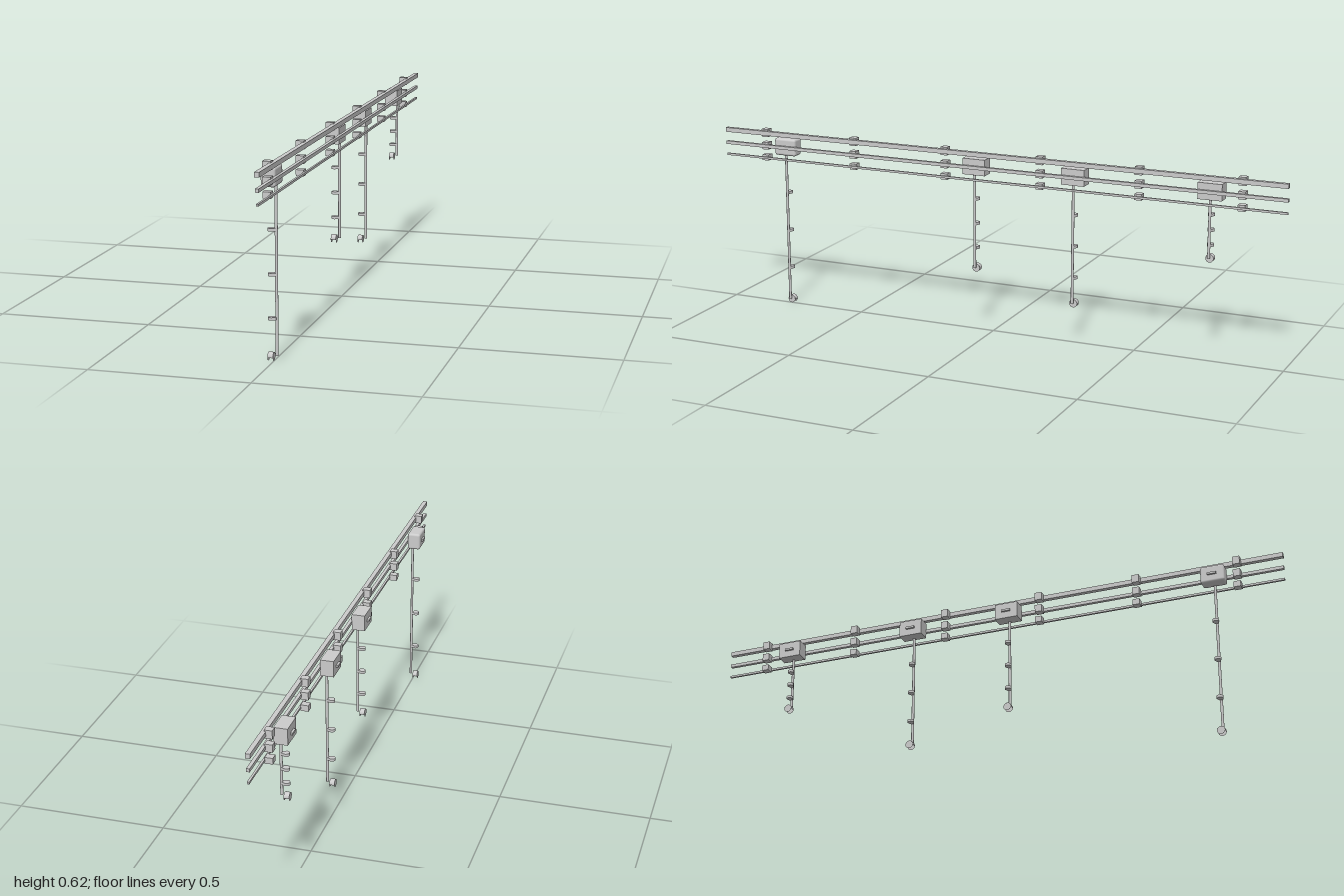
import * as THREE from 'three';
import { RoundedBoxGeometry } from 'three/addons/geometries/RoundedBoxGeometry.js';

const grey = new THREE.MeshStandardMaterial({ color: 0xcccccc, flatShading: true });
const smooth = new THREE.MeshStandardMaterial({ color: 0xcccccc });
const thin = new THREE.MeshStandardMaterial({ color: 0xcccccc, side: THREE.DoubleSide });

function add(parent, name, geometry, x, y, z, material = grey) {
  const mesh = new THREE.Mesh(geometry, material);
  mesh.name = name;
  mesh.position.set(x, y, z);
  parent.add(mesh);
  return mesh;
}

// Flat pipe clip: round at the outer end, narrowing towards the pipe
function clipGeometry() {
  const s = new THREE.Shape();
  s.moveTo(0.009, 0.005);
  s.lineTo(-0.006, 0.011);
  s.absarc(-0.006, 0, 0.011, Math.PI / 2, Math.PI * 1.5, false);
  s.lineTo(0.009, -0.005);
  s.closePath();
  const g = new THREE.ExtrudeGeometry(s, { depth: 0.009, bevelEnabled: false, curveSegments: 12 });
  return g.rotateX(Math.PI / 2).translate(0, 0.0045, 0);
}

// Pipe end: two round plates with a shell over the upper part, axis along x
function pipeEnd(parent, y, z) {
  const end = new THREE.Group();
  end.name = 'pipeEnd';
  end.position.set(-0.0085, y, z);
  const r = 0.0135, w = 0.017, arc = Math.PI * 1.1;
  const shell = new THREE.CylinderGeometry(r, r, w, 20, 1, true, Math.PI / 2 - arc / 2, arc);
  add(end, 'endShell', shell.rotateZ(Math.PI / 2), 0, 0, 0, thin);
  for (const side of [-1, 1]) {
    const plate = new THREE.CircleGeometry(r, 20).rotateY(side * Math.PI / 2);
    add(end, 'endPlate', plate, side * w / 2, 0, 0, thin);
  }
  parent.add(end);
}

export function createModel() {
  const model = new THREE.Group();
  model.name = 'railAssembly';

  // Three long rails with their rows of wall brackets
  const rails = [
    { y: 0.607, size: 0.015, x: 0.0225, bracketY: 0.606, bracket: 0.027 },
    { y: 0.5615, size: 0.011, x: 0.0225, bracketY: 0.561, bracket: 0.025 },
    { y: 0.52, size: 0.007, x: 0.023, bracketY: 0.52, bracket: 0.02 },
  ];
  for (const r of rails) {
    add(model, 'rail', new THREE.BoxGeometry(r.size, r.size, 2), r.x, r.y, 0);
    for (let i = 0; i < 6; i++) {
      add(model, 'railBracket', new THREE.BoxGeometry(0.025, r.bracket, 0.024), 0.008, r.bracketY, 0.85 - i * 0.34);
    }
  }

  // Junction boxes, each with a drop pipe, three clips and a round end
  const drops = [
    { z: 0.774, end: 0.0145, clips: [0.4, 0.265, 0.131], rounded: true },
    { z: 0.063, end: 0.213, clips: [0.451, 0.367, 0.284] },
    { z: -0.286, end: 0.133, clips: [0.432, 0.327, 0.221] },
    { z: -0.746, end: 0.341, clips: [0.484, 0.434, 0.385] },
  ];
  for (const d of drops) {
    const drop = new THREE.Group();
    drop.name = 'dropLine';
    model.add(drop);

    const box = d.rounded
      ? new RoundedBoxGeometry(0.045, 0.059, 0.08, 3, 0.008)
      : new THREE.BoxGeometry(0.044, 0.054, 0.08);
    add(drop, 'junctionBox', box, -0.0035, 0.562, d.z, d.rounded ? smooth : grey);
    add(drop, 'facePlate', new THREE.BoxGeometry(0.007, 0.007, 0.03), -0.029, 0.561, d.z);

    const bottom = d.end + 0.003, top = 0.545;
    const pipe = new THREE.CylinderGeometry(0.0046, 0.0046, top - bottom, 12);
    add(drop, 'dropPipe', pipe, 0.0095, (top + bottom) / 2, d.z, smooth);
    for (const y of d.clips) add(drop, 'pipeClip', clipGeometry(), 0, y, d.z);
    pipeEnd(drop, d.end, d.z);
  }
  return model;
}
